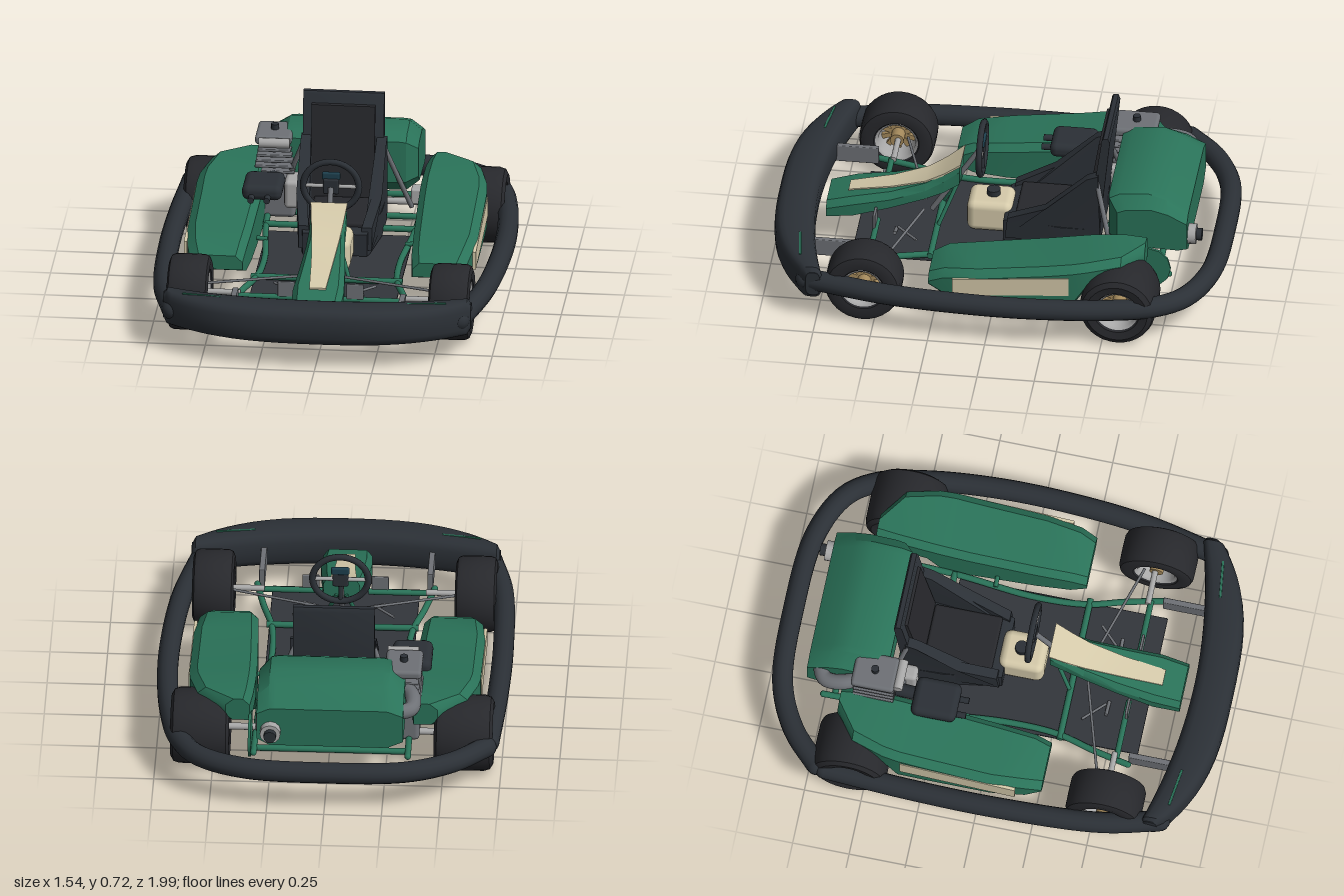
import * as THREE from 'three';
import { toCreasedNormals } from 'three/addons/utils/BufferGeometryUtils.js';
import { RoundedBoxGeometry } from 'three/addons/geometries/RoundedBoxGeometry.js';

const mat = (color) => new THREE.MeshStandardMaterial({ color, side: THREE.DoubleSide });
const GREEN = mat(0x2a7359), DARK = mat(0x2b3036), RUBBER = mat(0x27282c), FLOOR = mat(0x33363c);
const CREAM = mat(0xd6cbab), GREY = mat(0x6e7176), LIGHT = mat(0xa9a9a9), TAN = mat(0xa58a5c), BLUE = mat(0x1d3f4d);
const CX = -0.017; // centre line of the chassis
const V = (p) => new THREE.Vector3(...p);

export function createModel() {
  const kart = new THREE.Group();
  kart.name = 'kart';

  const add = (name, geometry, material, pos = [0, 0, 0], parent = kart) => {
    const mesh = new THREE.Mesh(geometry, material);
    mesh.name = name;
    mesh.position.set(...pos);
    parent.add(mesh);
    return mesh;
  };
  const box = (name, size, pos, material, r = 0.008) =>
    add(name, new RoundedBoxGeometry(...size, 2, Math.min(r, ...size.map((s) => s * 0.45))), material, pos);
  const rod = (name, a, b, r, material) => {
    const A = V(a), B = V(b), d = B.clone().sub(A);
    const m = add(name, new THREE.CylinderGeometry(r, r, d.length(), 12), material, A.clone().add(B).multiplyScalar(0.5).toArray());
    m.quaternion.setFromUnitVectors(new THREE.Vector3(0, 1, 0), d.normalize());
    return m;
  };
  const tube = (name, points, r, material, steps = 48) => {
    const curve = new THREE.CatmullRomCurve3(points.map(V));
    const m = add(name, new THREE.TubeGeometry(curve, steps, r, 14), material);
    for (const p of [points[0], points[points.length - 1]]) add(name + 'End', new THREE.SphereGeometry(r, 14, 8), material, p);
    return m;
  };
  // Skin between equal rings of points, closed at both ends
  const loft = (name, rings, material, crease = 0.6) => {
    const n = rings[0].length, last = (rings.length - 1) * n, idx = [];
    for (let i = 0; i < rings.length - 1; i++)
      for (let j = 0; j < n; j++) {
        const a = i * n + j, b = i * n + (j + 1) % n;
        idx.push(a, b, a + n, b, b + n, a + n);
      }
    for (let j = 1; j < n - 1; j++) idx.push(0, j + 1, j, last, last + j, last + j + 1);
    const pts = rings.flat().map(V);
    let volume = 0;
    for (let i = 0; i < idx.length; i += 3) volume += pts[idx[i]].dot(pts[idx[i + 1]].clone().cross(pts[idx[i + 2]]));
    if (volume < 0) idx.reverse();
    const g = new THREE.BufferGeometry().setFromPoints(pts);
    g.setIndex(idx);
    return add(name, toCreasedNormals(g, crease), material);
  };
  const prism = (name, x0, x1, zy, material) =>
    loft(name, [x0, x1].map((x) => zy.map(([z, y]) => [x, y, z])), material);

  // Bumper hoop around the sides and the back
  tube('rightBumperRail', [[-0.70, 0.185, -0.67], [-0.72, 0.185, -0.3], [-0.725, 0.185, 0.1], [-0.70, 0.185, 0.55], [-0.64, 0.185, 0.8]], 0.046, DARK);
  tube('rearBumperRail', [[-0.69, 0.185, -0.71], [-0.55, 0.185, -0.84], [-0.35, 0.185, -0.93], [0, 0.185, -0.953], [0.35, 0.185, -0.93],
    [0.55, 0.185, -0.84], [0.64, 0.185, -0.71], [0.69, 0.185, -0.5], [0.718, 0.185, -0.2], [0.716, 0.185, 0.1],
    [0.685, 0.185, 0.45], [0.61, 0.185, 0.8]], 0.046, DARK, 80);

  // Front bumper, a curved rounded bar
  const bumperRings = [];
  for (let i = 0; i <= 28; i++) {
    const t = Math.sin((i / 28 - 0.5) * Math.PI), e = Math.abs(t);
    const back = 0.82 - 0.1 * e * e, front = 0.995 - 0.19 * e ** 3, k = e > 0.99 ? 0.75 : 1;
    const ring = [];
    for (let j = 0; j < 20; j++) {
      const a = (j / 20) * Math.PI * 2, c = Math.cos(a), s = Math.sin(a);
      ring.push([CX + 0.007 + t * 0.67, 0.192 + (0.087 - 0.01 * e * e) * k * Math.sign(s) * Math.abs(s) ** 0.6,
        (back + front) / 2 + ((front - back) / 2) * k * Math.sign(c) * Math.abs(c) ** 0.6]);
    }
    bumperRings.push(ring);
  }
  loft('frontBumper', bumperRings, DARK, 0.9);

  // Wheels: lathed tyre and rim, hub with spokes
  const wheel = (name, x, z, w) => {
    const g = new THREE.Group();
    g.name = name;
    g.position.set(x, 0.167, z);
    g.rotation.z = -Math.PI / 2;
    kart.add(g);
    const h = w / 2, L = (pts) => new THREE.LatheGeometry(pts.map((p) => new THREE.Vector2(...p)), 32);
    add('tyre', toCreasedNormals(L([[0.09, -h * 0.8], [0.1, -h * 0.95], [0.135, -h], [0.157, -h * 0.9], [0.165, -h * 0.7],
      [0.166, 0], [0.165, h * 0.7], [0.157, h * 0.9], [0.135, h], [0.1, h * 0.95], [0.09, h * 0.8], [0.09, -h * 0.8]]), 0.7), RUBBER, [0, 0, 0], g);
    add('rim', L([[0.094, -h * 0.88], [0.082, -h * 0.8], [0.075, 0], [0.082, h * 0.8], [0.094, h * 0.88]]), LIGHT, [0, 0, 0], g);
    add('hub', new THREE.CylinderGeometry(0.03, 0.03, w * 0.75, 16), TAN, [0, 0, 0], g);
    for (let i = 0; i < 5; i++) {
      const spoke = add('spoke', new THREE.BoxGeometry(0.16, 0.02, 0.022), TAN, [0, 0, 0], g);
      spoke.rotation.y = (i / 5) * Math.PI;
    }
  };
  for (const [s, side] of [[1, 'left'], [-1, 'right']]) {
    wheel(side + 'FrontWheel', CX + s * 0.57, 0.55, 0.18);
    wheel(side + 'RearWheel', CX + s * 0.572, -0.567, 0.255);

    // Side pod: z, outer x, inner x, top, bottom
    const pod = [[0.27, 0.595, 0.37, 0.225, 0.16], [0.2, 0.615, 0.36, 0.262, 0.13], [0.05, 0.632, 0.352, 0.28, 0.12],
      [-0.24, 0.632, 0.342, 0.318, 0.12], [-0.36, 0.632, 0.34, 0.338, 0.125], [-0.43, 0.625, 0.34, 0.35, 0.23],
      [-0.57, 0.585, 0.345, 0.365, 0.25], [-0.66, 0.46, 0.355, 0.365, 0.26]];
    loft(side + 'SidePod', pod.map(([z, o, i, t, b]) => [[o - 0.03, b], [o, b + 0.025], [o, t - 0.03], [o - 0.035, t], [i + 0.03, t], [i, t - 0.03], [i, b]]
      .map(([x, y]) => [CX + s * x, y, z])), GREEN);
    prism(side + 'PodStripe', CX + s * 0.622, CX + s * 0.636, [[0.16, 0.16], [0.16, 0.24], [-0.35, 0.29], [-0.35, 0.2]], CREAM);

    // Chassis rails, front axle, steering links and bumper brackets
    const X = (x) => CX + s * x;
    tube(side + 'ChassisRail', [[X(0.385), 0.15, 0.61], [X(0.35), 0.145, 0.45], [X(0.305), 0.14, 0.28], [X(0.295), 0.135, 0.05],
      [X(0.325), 0.14, -0.3], [X(0.335), 0.15, -0.75]], 0.014, GREEN);
    rod(side + 'StubAxle', [X(0.35), 0.17, 0.545], [X(0.54), 0.17, 0.545], 0.013, LIGHT);
    rod(side + 'AxleBeam', [X(0.1), 0.16, 0.555], [X(0.37), 0.16, 0.555], 0.013, GREEN);
    rod(side + 'TieRod', [X(0.04), 0.19, 0.36], [X(0.5), 0.19, 0.5], 0.006, GREY);
    rod(side + 'ControlArm', [X(0.22), 0.15, 0.37], [X(0.13), 0.15, 0.46], 0.006, GREY);
    box(side + 'Pedal', [0.075, 0.07, 0.012], [X(0.15), 0.2, 0.56], GREY, 0.004);
    rod(side + 'PedalArm', [X(0.11), 0.13, 0.47], [X(0.18), 0.15, 0.47], 0.008, GREY);
    box(side + 'BumperBracket', [0.025, 0.08, 0.2], [X(0.365), 0.18, 0.71], GREY, 0.004);
    const trim = box(side + 'BumperTrim', [0.17, 0.006, 0.01], [X(0.49), 0.273, 0.842], GREEN, 0.002);
    trim.rotation.y = s * 0.13;
    rod(side + 'SeatStrut', [X(0.17), 0.5, -0.41], [X(0.29), 0.17, -0.5], 0.011, GREY);
    rod(side + 'PodStay', [X(0.3), 0.15, -0.12], [X(0.42), 0.16, -0.12], 0.01, GREEN);
  }

  // Floor pan, cross tubes and rear axle
  box('floorPan', [0.64, 0.014, 0.92], [CX, 0.118, 0.18], FLOOR, 0.004);
  for (const [z, h] of [[0.295, 0.33], [-0.305, 0.33], [-0.45, 0.33], [-0.7, 0.33]])
    rod('crossTube', [CX - h, 0.145, z], [CX + h, 0.145, z], 0.014, GREEN);
  rod('rearAxle', [CX - 0.5, 0.167, -0.567], [CX + 0.5, 0.167, -0.567], 0.015, LIGHT);
  rod('brakeDisc', [0.33, 0.19, -0.66], [0.342, 0.19, -0.66], 0.1, GREEN);
  box('brakeCaliper', [0.05, 0.07, 0.07], [0.29, 0.2, -0.57], LIGHT);

  // Seat: tapered base, side wings, leaning back with padding
  loft('seatBase', [[0.0, 0.14, 0.135, 0.235], [-0.04, 0.148, 0.13, 0.25], [-0.25, 0.18, 0.13, 0.245], [-0.42, 0.185, 0.14, 0.25]]
    .map(([z, h, b, t]) => [[-h, b], [h, b], [h, t], [-h, t]].map(([x, y]) => [x - 0.012, y, z])), DARK);
  for (const s of [-1, 1]) {
    const wing = [[-0.01, 0.16], [-0.02, 0.26], [-0.19, 0.34], [-0.37, 0.51], [-0.42, 0.53], [-0.43, 0.17]];
    loft('seatWing', [0.13, 0.175].map((x) => wing.map(([z, y]) => [-0.012 + s * (x + (z < -0.1 ? 0.012 : -0.015)), y, z])), DARK);
  }
  prism('seatBack', -0.193, 0.16, [[-0.365, 0.2], [-0.435, 0.71], [-0.442, 0.72], [-0.462, 0.72], [-0.47, 0.7], [-0.42, 0.2]], DARK);
  prism('seatBackPad', -0.155, 0.122, [[-0.35, 0.24], [-0.417, 0.665], [-0.44, 0.672], [-0.4, 0.24]], RUBBER);
  box('seatCushion', [0.25, 0.03, 0.3], [-0.012, 0.255, -0.2], RUBBER, 0.012);

  // Fuel tank between the knees
  box('fuelTank', [0.175, 0.15, 0.2], [CX, 0.198, 0.07], CREAM, 0.035);
  rod('fuelCap', [CX, 0.265, 0.06], [CX, 0.298, 0.06], 0.03, DARK);

  // Nose fairing and its cream front plate: z, half width, top, bottom
  const nose = [[0.2, 0.078, 0.452, 0.36], [0.27, 0.078, 0.395, 0.31], [0.35, 0.085, 0.345, 0.275], [0.5, 0.1, 0.296, 0.225], [0.66, 0.112, 0.265, 0.18], [0.78, 0.105, 0.23, 0.16]];
  loft('noseFairing', nose.map(([z, h, t, b]) => [[-h, b], [-h, t - 0.03], [-h * 0.78, t], [h * 0.78, t], [h, t - 0.03], [h, b]]
    .map(([x, y]) => [CX + x, y, z])), GREEN);
  const plate = [[0.195, 0.08, 0.46], [0.27, 0.07, 0.4], [0.35, 0.06, 0.35], [0.5, 0.047, 0.301], [0.69, 0.036, 0.262]];
  loft('nosePlate', plate.map(([z, h, y]) => [[-h, y - 0.008], [h, y - 0.008], [h, y + 0.002], [-h, y + 0.002]]
    .map(([x, v]) => [CX + x, v, z])), CREAM);

  // Steering wheel and column
  const rim = add('steeringWheel', new THREE.TorusGeometry(0.112, 0.014, 10, 36), DARK, [CX, 0.505, 0.11]);
  rim.scale.x = 1.08;
  rod('steeringSpoke', [CX - 0.11, 0.505, 0.11], [CX + 0.11, 0.505, 0.11], 0.009, LIGHT);
  rod('steeringLowerSpoke', [CX, 0.5, 0.11], [CX, 0.4, 0.11], 0.009, DARK);
  box('steeringHub', [0.07, 0.07, 0.025], [CX, 0.505, 0.112], DARK);
  box('dashDisplay', [0.08, 0.035, 0.02], [CX, 0.55, 0.105], BLUE);
  rod('steeringColumn', [CX, 0.5, 0.12], [CX, 0.17, 0.33], 0.012, GREY);
  for (const s of [-1, 1]) rod('columnBrace', [CX + s * 0.02, 0.37, 0.2], [CX + s * 0.1, 0.14, 0.295], 0.009, GREEN);

  // Rear body: rounded drum with tapered ends
  const drum = [[-0.475, 0.29], [-0.475, 0.48], [-0.52, 0.505], [-0.65, 0.517], [-0.73, 0.49], [-0.825, 0.425], [-0.825, 0.24], [-0.78, 0.225], [-0.53, 0.235]];
  const drumRings = [[-0.335, 0.68], [-0.27, 0.98], [-0.24, 1], [0.22, 1], [0.25, 0.97], [0.3, 0.68]];
  loft('rearBody', drumRings.map(([x, k]) => drum.map(([z, y]) => [x, 0.34 + (y - 0.34) * k, -0.825 + (z + 0.825) * (0.6 + 0.4 * k)])), GREEN, 0.5);
  rod('rearOutlet', [0.24, 0.315, -0.8], [0.24, 0.315, -0.86], 0.045, LIGHT);
  rod('rearOutletTip', [0.24, 0.315, -0.85], [0.24, 0.315, -0.885], 0.027, DARK);

  // Engine: crankcase, cooling fins, head, exhaust and air box
  box('crankcase', [0.17, 0.17, 0.2], [-0.31, 0.22, -0.5], GREY, 0.02);
  box('clutchCover', [0.07, 0.13, 0.13], [-0.235, 0.26, -0.42], LIGHT, 0.02);
  rod('cylinder', [-0.325, 0.28, -0.52], [-0.325, 0.47, -0.52], 0.06, GREY);
  for (let i = 0; i < 6; i++) box('coolingFin', [0.185 - i * 0.008, 0.012, 0.18], [-0.32, 0.31 + i * 0.025, -0.52], GREY, 0.004);
  box('cylinderHead', [0.16, 0.042, 0.19], [-0.325, 0.48, -0.525], GREY, 0.016);
  rod('sparkPlug', [-0.325, 0.49, -0.525], [-0.325, 0.525, -0.525], 0.017, DARK);
  rod('intakePipe', [-0.385, 0.478, -0.415], [-0.25, 0.478, -0.415], 0.022, LIGHT);
  tube('exhaustPipe', [[-0.33, 0.4, -0.58], [-0.37, 0.4, -0.66], [-0.365, 0.39, -0.74], [-0.3, 0.39, -0.775]], 0.034, GREY, 24);
  box('airBox', [0.175, 0.07, 0.2], [-0.347, 0.345, -0.25], DARK, 0.03);
  rod('airBoxPipe', [-0.335, 0.33, -0.3], [-0.32, 0.31, -0.45], 0.03, DARK);
  for (const x of [-0.39, -0.32]) rod('airBoxInlet', [x, 0.33, -0.18], [x, 0.33, -0.11], 0.014, DARK);
  return kart;
}
